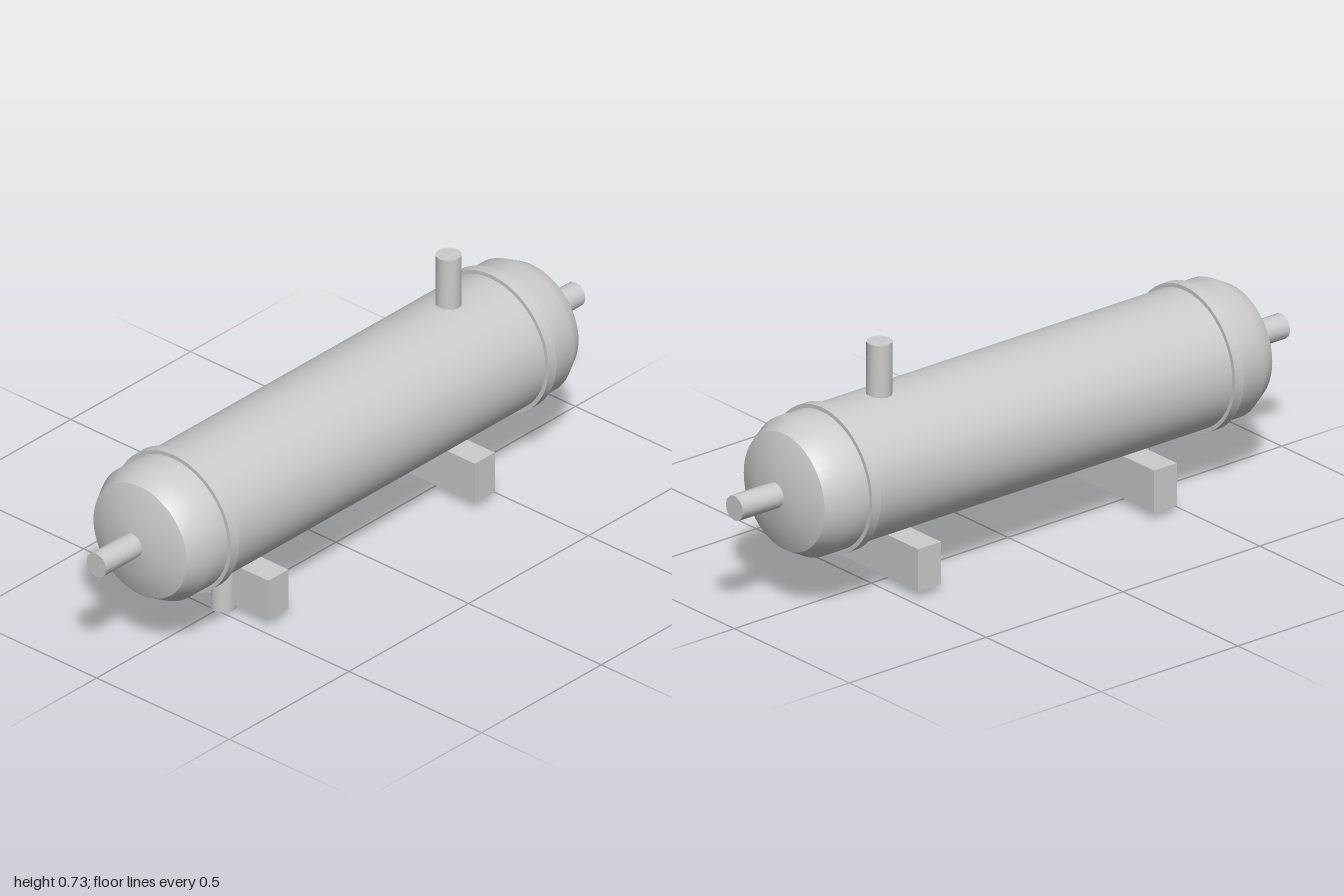
import * as THREE from 'three';
import { toCreasedNormals } from 'three/addons/utils/BufferGeometryUtils.js';

const AXIS_Y = 0.367, SHELL_R = 0.206, PIPE_R = 0.0375, SIDES = 48;

export function createModel() {
  const model = new THREE.Group();
  model.name = 'pressureVessel';
  const grey = new THREE.MeshStandardMaterial({ color: 0xcccccc });

  const add = (parent, name, geometry, x = 0, y = 0) => {
    const mesh = new THREE.Mesh(geometry, grey);
    mesh.name = name;
    mesh.position.set(x, y, 0);
    parent.add(mesh);
    return mesh;
  };
  const cylinder = (r, length, sides, open = false) =>
    toCreasedNormals(new THREE.CylinderGeometry(r, r, length, sides, 1, open), 0.7);
  const lathe = (...points) =>
    new THREE.LatheGeometry(points.map(([r, h]) => new THREE.Vector2(r, h)), SIDES);

  // Parts turned about the long axis, built upright and then laid along x
  const body = new THREE.Group();
  body.name = 'body';
  body.position.y = AXIS_Y;
  body.rotation.z = -Math.PI / 2;
  model.add(body);
  add(body, 'shell', cylinder(SHELL_R, 1.32, SIDES, true));

  for (const [side, sign] of [['left', 1], ['right', -1]]) {
    const end = new THREE.Group();
    end.name = side + 'End';
    if (sign < 0) end.rotation.z = Math.PI;
    body.add(end);

    // Head: a rounded shoulder and a shallow dome with a crease between them
    add(end, side + 'HeadShoulder', lathe([SHELL_R, 0.66], [SHELL_R, 0.763], [0.176, 0.818]));
    add(end, side + 'HeadDome', lathe([0.176, 0.818], [0.095, 0.848], [0, 0.853]));
    add(end, side + 'Flange', cylinder(0.218, 0.033, SIDES), 0, 0.663);
    add(end, side + 'EndNozzle', cylinder(PIPE_R, 0.17, 12), 0, 0.915);

    // Support block under the shell
    add(model, side + 'Support', new THREE.BoxGeometry(0.083, 0.129, 0.344), sign * 0.431, 0.0875);
  }

  // Vertical nozzles: outlet on top, drain below
  add(model, 'topNozzle', cylinder(PIPE_R, 0.18, 12), 0.47, 0.64);
  add(model, 'drainNozzle', cylinder(PIPE_R, 0.18, 12), -0.47, 0.09);

  return model;
}
